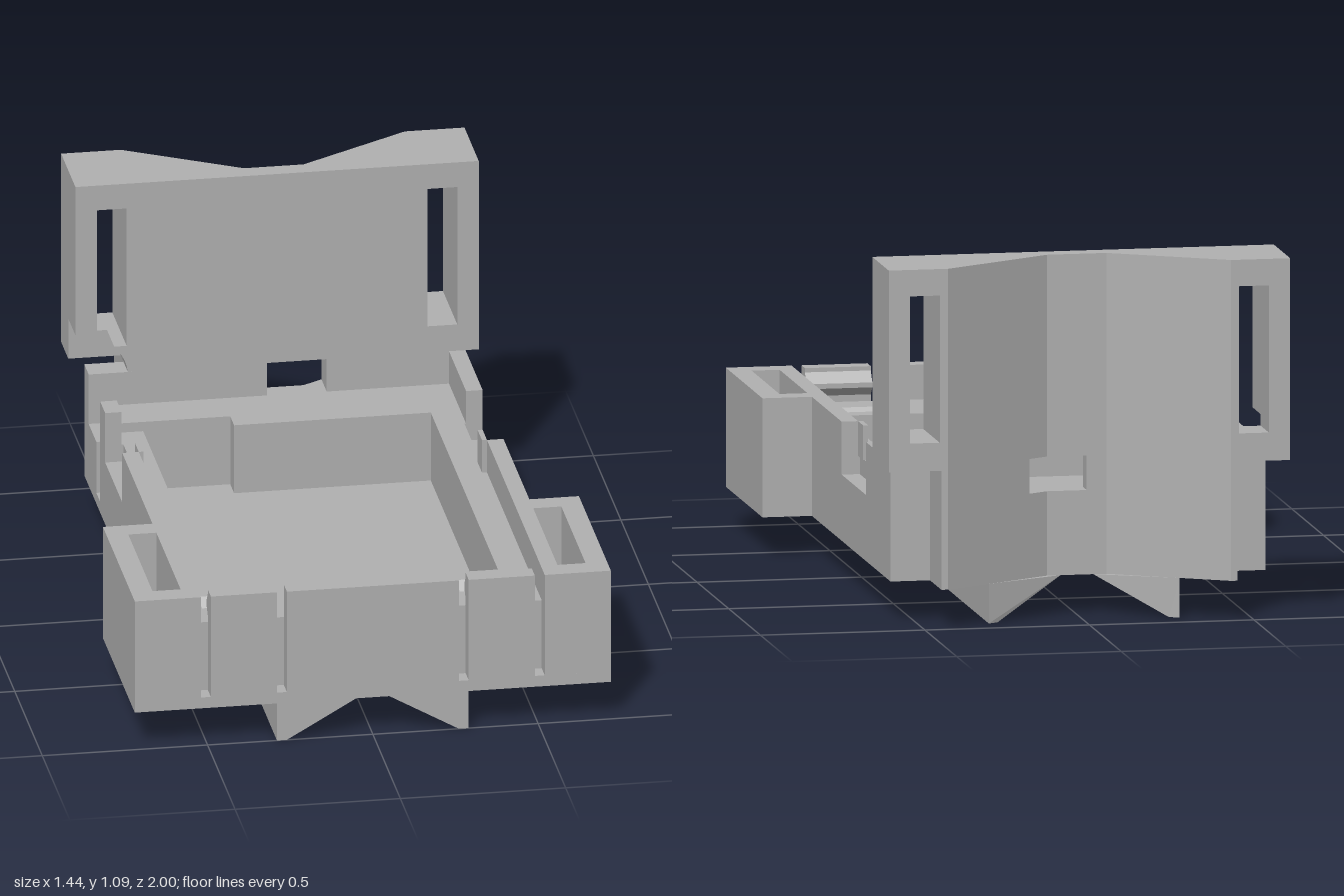
import * as THREE from 'three';

const grey = new THREE.MeshStandardMaterial({ color: 0xb0b0b0 });
grey.name = 'light grey plastic';

const toShape = (pts) => new THREE.Shape(pts.map(([x, y]) => new THREE.Vector2(x, y)));
const rect = (x0, x1, y0, y1) => [[x0, y0], [x1, y0], [x1, y1], [x0, y1]];

// Depth of the saddle-shaped back at a given x
const saddleZ = (x) => -0.8 - 0.2 * Math.min(1, Math.max(0, (Math.abs(x) - 0.09) / 0.34));

export function createModel() {
  const model = new THREE.Group();
  model.name = 'deviceCradle';

  const add = (parent, name, geometry) => {
    const mesh = new THREE.Mesh(geometry, grey);
    mesh.name = name;
    parent.add(mesh);
    return mesh;
  };
  const group = (name) => {
    const g = new THREE.Group();
    g.name = name;
    model.add(g);
    return g;
  };
  const box = (parent, name, x0, x1, y0, y1, z0, z1) =>
    add(parent, name, new THREE.BoxGeometry(x1 - x0, y1 - y0, z1 - z0)
      .translate((x0 + x1) / 2, (y0 + y1) / 2, (z0 + z1) / 2));

  // Plan outline (x, z) extruded upward
  const slab = (parent, name, pts, holes, y0, y1) => {
    const s = toShape(pts);
    holes.forEach((h) => s.holes.push(toShape(h)));
    add(parent, name, new THREE.ExtrudeGeometry(s, { depth: y1 - y0, bevelEnabled: false })
      .rotateX(Math.PI / 2).translate(0, y1, 0));
  };
  // Front outline (x, y) extruded along z
  const panel = (pts, z0, z1, holes = []) => {
    const s = toShape(pts);
    holes.forEach((h) => s.holes.push(toShape(h)));
    return new THREE.ExtrudeGeometry(s, { depth: z1 - z0, bevelEnabled: false }).translate(0, 0, z0);
  };
  // Side outline (z, y) extruded along x
  const wedge = (parent, name, pts, x0, x1) =>
    add(parent, name, new THREE.ExtrudeGeometry(toShape(pts.map(([z, y]) => [-z, y])),
      { depth: x1 - x0, bevelEnabled: false }).rotateY(Math.PI / 2).translate(x0, 0, 0));
  // Push the rear vertices onto the saddle
  const fitSaddle = (geometry, limit) => {
    const p = geometry.attributes.position;
    for (let i = 0; i < p.count; i++) if (p.getZ(i) < limit) p.setZ(i, saddleZ(p.getX(i)));
    geometry.computeVertexNormals();
    return geometry;
  };
  const saddlePiece = (parent, name, x0, x1, y0, y1, zFront) =>
    fitSaddle(box(parent, name, x0, x1, y0, y1, -1, zFront).geometry, -0.9);

  // Tray: stacked layers, each with the openings found at its height
  const tray = group('tray');
  const grooves = [0.505, 0.275, -0.275, -0.505];
  const earSlots = [rect(0.57, 0.655, 0.49, 0.93), rect(-0.655, -0.57, 0.49, 0.93)];
  const pockets = [rect(0.29, 0.49, 0.75, 0.84), rect(-0.49, -0.29, 0.75, 0.84)];
  const outline = (hollow, notched) => {
    const pts = [[-0.57, -0.8], [0.57, -0.8]];
    if (notched) pts.push([0.57, -0.43], [0.515, -0.43], [0.515, -0.05], [0.57, -0.05]);
    pts.push([0.57, 0.42], [0.72, 0.42], [0.72, 1]);
    if (hollow) {
      grooves.forEach((x) => pts.push([x + 0.015, 1], [x + 0.015, 0.945], [x - 0.015, 0.945], [x - 0.015, 1]));
    }
    pts.push([-0.72, 1], [-0.72, 0.42], [-0.57, 0.42]);
    if (notched) pts.push([-0.57, -0.13], [-0.515, -0.13], [-0.515, -0.44], [-0.57, -0.44]);
    // Main cavity, reached from outside through the cable channel
    if (hollow) {
      pts.push([-0.57, -0.53], [-0.44, -0.53], [-0.44, 0.69], [0.43, 0.69], [0.43, -0.53],
        [-0.165, -0.53], [-0.165, -0.6]);
      if (notched) pts.push([-0.5, -0.6], [-0.5, -0.74], [-0.57, -0.74]);
      else pts.push([-0.57, -0.6]);
    }
    return pts;
  };
  slab(tray, 'trayFloor', outline(false, false), earSlots, 0.12, 0.155);
  slab(tray, 'trayLowerWalls', outline(true, false), earSlots, 0.155, 0.3);
  slab(tray, 'trayMiddleWalls', outline(true, false), [...earSlots, ...pockets], 0.3, 0.32);
  slab(tray, 'trayLedge', outline(true, true), [...earSlots, ...pockets], 0.32, 0.375);

  // Rim around the lid recess
  const rim = group('rim');
  const Y0 = 0.375, Y1 = 0.48;
  const rimBox = (name, x0, x1, z0, z1) => box(rim, name, x0, x1, Y0, Y1, z0, z1);
  rimBox('rimRightSideRear', -0.57, -0.52, -0.53, -0.44);
  rimBox('rimRightSideFront', -0.57, -0.52, -0.13, 1);
  rimBox('rimLeftSideRear', 0.52, 0.57, -0.74, -0.43);
  rimBox('rimLeftSideFront', 0.52, 0.57, -0.05, 1);
  rimBox('rimRightTab', -0.52, -0.505, -0.2, -0.13);
  rimBox('rimLeftTab', 0.505, 0.52, -0.13, -0.05);
  rimBox('rimFrontMiddle', -0.26, 0.26, 0.945, 1);
  rimBox('rimBackRight', -0.57, -0.03, -0.8, -0.74);
  rimBox('rimBackLeft', 0.15, 0.57, -0.8, -0.74);

  for (const s of [-1, 1]) {
    const span = (a, b) => (s > 0 ? [a, b] : [-b, -a]);
    // Strap ears at rim height
    rimBox('earOuter', ...span(0.655, 0.72), 0.42, 1);
    rimBox('earRear', ...span(0.57, 0.655), 0.42, 0.49);
    rimBox('earFront', ...span(0.57, 0.655), 0.93, 1);
    // Snap clips with hooks
    const [c0, c1] = span(0.29, 0.49);
    rimBox('clipTab', c0, c1, 0.945, 1);
    wedge(rim, 'clipHook', [[0.955, 0.48], [0.92, 0.435], [0.92, 0.42], [0.955, 0.385]], c0, c1);
    // Sloping sides of the latch pockets
    wedge(tray, 'pocketRearSlope', [[0.75, 0.3], [0.8, 0.3], [0.75, 0.375]], c0, c1);
    wedge(tray, 'pocketFrontSlope', [[0.84, 0.3], [0.84, 0.375], [0.8, 0.3]], c0, c1);
    // Rear corners of the tray
    box(tray, 'trayRearCorner', ...span(0.45, 0.57), 0.12, Y1, -0.82, -0.8);
  }

  // Saddle behind the tray, with a window at rim height
  const saddle = group('lowerSaddle');
  saddlePiece(saddle, 'saddleRightSlope', -0.43, -0.09, 0.12, Y1, -0.8);
  saddlePiece(saddle, 'saddleLeftSlope', 0.15, 0.43, 0.12, Y1, -0.8);
  saddlePiece(saddle, 'windowSill', 0.09, 0.15, 0.12, Y0, -0.8);
  box(saddle, 'saddleRightEdge', -0.45, -0.43, 0.12, Y1, -1, -0.8);
  box(saddle, 'saddleLeftEdge', 0.43, 0.45, 0.12, Y1, -1, -0.8);

  // Upright back plate with strap slots
  const plate = group('backPlate');
  saddlePiece(plate, 'plateCentre', -0.09, 0.09, Y1, 1.09, -0.74);
  saddlePiece(plate, 'plateRightSlope', -0.43, -0.09, Y1, 1.09, -0.74);
  saddlePiece(plate, 'plateLeftSlope', 0.09, 0.43, Y1, 1.09, -0.74);
  add(plate, 'plateLeftEnd', panel(rect(0.43, 0.61, Y1, 1.09), -1, -0.74, [rect(0.455, 0.545, 0.565, 1.01)]));
  add(plate, 'plateRightEndBack', panel(rect(-0.61, -0.43, Y1, 1.09), -1, -0.87, [rect(-0.545, -0.455, 0.565, 1.01)]));
  // Front layer of this end has a rounded cable relief in its lower corner
  const arc = [];
  for (let i = 0; i <= 6; i++) {
    const a = 0.775 - (i / 6) * 0.64;
    arc.push([-0.6 + 0.15 * Math.cos(a), 0.46 + 0.15 * Math.sin(a)]);
  }
  add(plate, 'plateRightEndFront', panel([[-0.61, 0.61], [-0.58, 0.609], [-0.545, 0.6], [-0.545, 1.01],
    [-0.455, 1.01], [-0.455, 0.565], ...arc, [-0.43, Y1], [-0.43, 1.09], [-0.61, 1.09]], -0.87, -0.74));

  // Twin keels forming a V-shaped underside
  const keels = group('keels');
  for (const s of [-1, 1]) {
    const g = panel([[0.29, 0], [0.29, 0.12], [0.05, 0.12], [0.26, 0]].map(([x, y]) => [s * x, y]), -0.92, 1);
    add(keels, 'keel', fitSaddle(g, -0.9));
  }
  return model;
}
